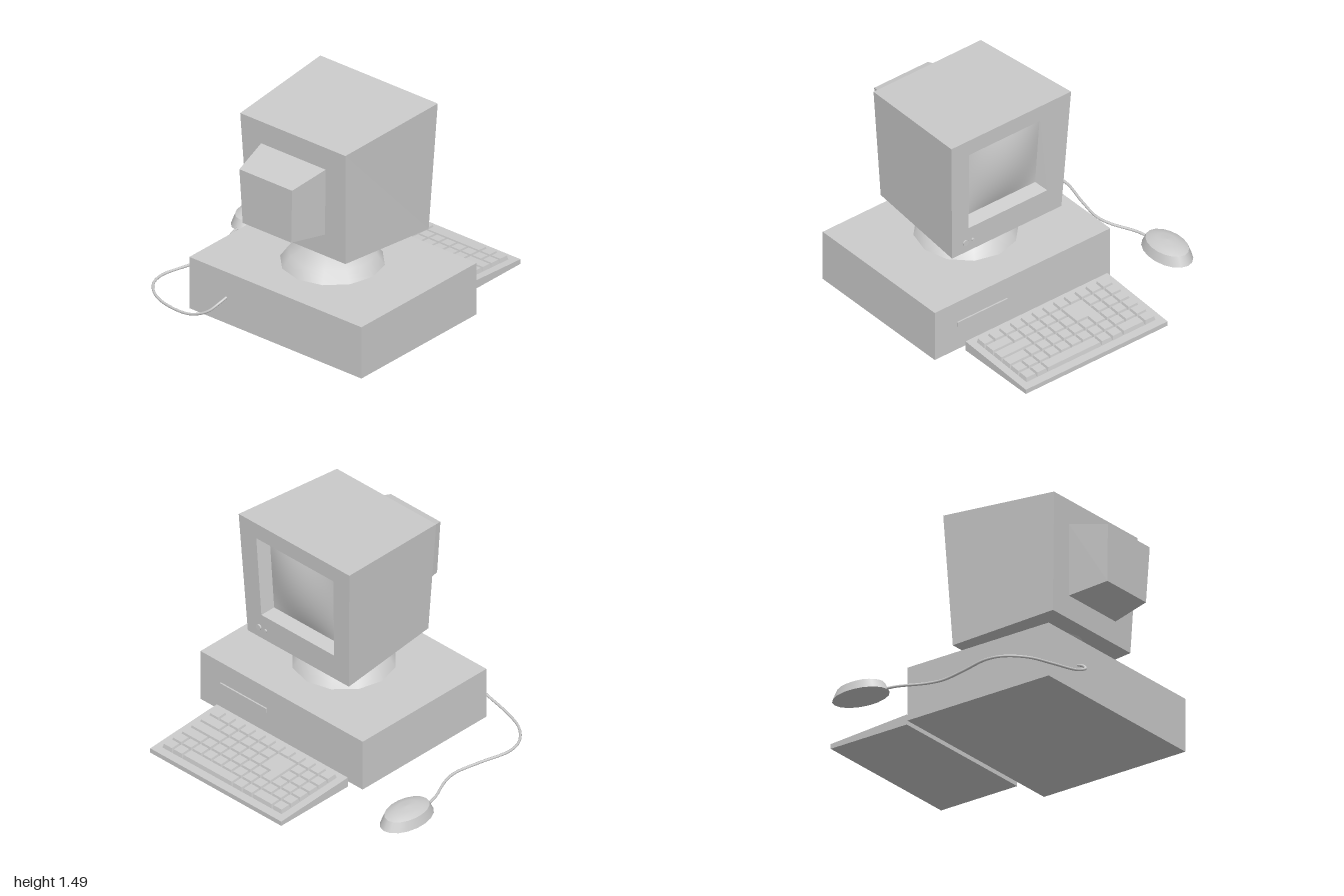
import * as THREE from 'three';

const material = new THREE.MeshStandardMaterial({ color: 0xcccccc });
const V = (x, y, z) => new THREE.Vector3(x, y, z);
const V2 = (x, y) => new THREE.Vector2(x, y);

function add(group, name, geometry, x = 0, y = 0, z = 0) {
  const mesh = new THREE.Mesh(geometry, material);
  mesh.name = name;
  mesh.position.set(x, y, z);
  group.add(mesh);
  return mesh;
}

// Flat-faced skin through matching rings; optional caps at either end
function loft(rings, capStart, capEnd) {
  const pts = [];
  const n = rings[0].length;
  for (let r = 0; r + 1 < rings.length; r++) {
    const a = rings[r], b = rings[r + 1];
    for (let i = 0; i < n; i++) {
      const j = (i + 1) % n;
      pts.push(a[i], a[j], b[j], a[i], b[j], b[i]);
    }
  }
  const first = rings[0], last = rings[rings.length - 1];
  for (let i = 1; i + 1 < n; i++) {
    if (capStart) pts.push(first[0], first[i + 1], first[i]);
    if (capEnd) pts.push(last[0], last[i], last[i + 1]);
  }
  const g = new THREE.BufferGeometry().setFromPoints(pts);
  g.computeVertexNormals();
  return g;
}

// Upright four-cornered ring: [left x, right x, y, z] for its bottom and top edges
const ring = ([bl, br, by, bz], [tl, tr, ty, tz]) =>
  [V(bl, by, bz), V(br, by, bz), V(tr, ty, tz), V(tl, ty, tz)];

// Point inside a ring at fractions s (across) and t (up)
const inside = (r, s, t) =>
  r[0].clone().lerp(r[1], s).lerp(r[3].clone().lerp(r[2], s), t);

function buildMonitor() {
  const g = new THREE.Group();
  g.name = 'monitor';
  const front = ring([-0.165, 0.73, 0.585, -0.145], [-0.21, 0.77, 1.487, -0.187]);
  const back = ring([-0.123, 0.69, 0.633, 0.62], [-0.158, 0.72, 1.438, 0.655]);
  const sub = (s0, s1, t0, t1) =>
    [[s0, t0], [s1, t0], [s1, t1], [s0, t1]].map(([s, t]) => inside(front, s, t));
  const opening = sub(0.145, 0.85, 0.205, 0.87);
  const recess = sub(0.175, 0.82, 0.235, 0.84).map((p) => p.add(V(0, 0, 0.09)));
  add(g, 'casing', loft([recess, opening, front, back], false, true));

  // Tube housing at the rear
  add(g, 'rearHousing', loft([
    ring([0.035, 0.525, 0.79, 0.625], [0.01, 0.55, 1.277, 0.645]),
    ring([0.075, 0.48, 0.83, 0.903], [0.06, 0.5, 1.218, 0.918]),
  ], false, true));

  // Bulging screen
  const screen = new THREE.PlaneGeometry(1, 1, 16, 16);
  const pos = screen.attributes.position;
  for (let i = 0; i < pos.count; i++) {
    const x = pos.getX(i), y = pos.getY(i);
    const p = inside(recess, 0.5 - x, 0.5 + y);
    p.z -= 0.05 * (1 - 4 * x * x) * (1 - 4 * y * y);
    pos.setXYZ(i, p.x, p.y, p.z);
  }
  screen.computeVertexNormals();
  add(g, 'screen', screen);

  // Control knobs below the screen
  for (const [x, r] of [[0.625, 0.021], [0.565, 0.011]]) {
    add(g, 'knob', new THREE.CylinderGeometry(r, r, 0.02, 12), x, 0.665, -0.15).rotation.x = Math.PI / 2;
  }
  return g;
}

function buildPedestal() {
  const g = new THREE.Group();
  g.name = 'pedestal';
  const lathe = (pts) => new THREE.LatheGeometry(pts, 12);
  add(g, 'swivelBase', lathe([V2(0.338, 0.37), V2(0.285, 0.445), V2(0.163, 0.512)]));
  add(g, 'neck', lathe([V2(0.163, 0.512), V2(0.265, 0.64)]));
  g.position.set(0.28, 0, 0.267);
  return g;
}

function buildKeyboard() {
  const g = new THREE.Group();
  g.name = 'keyboard';
  const deck = (z) => 0.05 + (z + 0.965) * 0.061;
  const X0 = -0.315, Z0 = -0.91, DX = 1.06 / 12, DZ = 0.505 / 6;

  const body = [[-0.365, -0.36], [0.795, -0.36], [0.795, -0.965], [-0.365, -0.965]];
  add(g, 'keyboardBody', loft([
    body.map(([x, z]) => V(x, 0.017, z)),
    body.map(([x, z]) => V(x, deck(z), z)),
  ], true, true));

  // Tapered key from an outline of [column, row, inset x, inset z]
  const key = (name, outline) => {
    const level = (inset, rise) => outline.map(([c, r, sx, sz]) => {
      const x = X0 + c * DX + sx * inset, z = Z0 + r * DZ + sz * inset;
      return V(x, deck(z) + rise, z);
    });
    add(g, name, loft([level(0.002, -0.002), level(0.009, 0.028)], false, true));
  };

  // Key widths in columns; negative widths leave a gap for the corner key
  const rows = [
    [1, 2, 1, 1, 5, 1, 1],
    Array(12).fill(1),
    [1, 1, 1, -1, 1, 1, 1, 1, 1, 1, 2],
    [1, 1, 1, -2, 1, 1, 1, 1, 3],
    [1, 1, 1, -2, 1, 1, 1, 1, 1, 2],
    Array(12).fill(1),
  ];
  rows.forEach((widths, r) => {
    let c = 0;
    for (const w of widths) {
      const e = c + Math.abs(w);
      if (w > 0) key('key', [[c, r + 1, 1, -1], [e, r + 1, -1, -1], [e, r, -1, 1], [c, r, 1, 1]]);
      c = e;
    }
  });
  key('cornerKey', [
    [4, 3, -1, 1], [4, 2, -1, 1], [3, 2, 1, 1], [3, 5, 1, -1], [5, 5, -1, -1], [5, 3, -1, 1],
  ]);
  return g;
}

function buildMouse() {
  const g = new THREE.Group();
  g.name = 'mouse';
  const lathe = (pts) => new THREE.LatheGeometry(pts, 18);
  const shell = new THREE.Group();
  shell.name = 'mouseShell';
  add(shell, 'mouseBottom', lathe([V2(0, 0.015), V2(1, 0.015)]));
  add(shell, 'mouseSide', lathe([V2(1, 0.015), V2(0.84, 0.08)]));
  add(shell, 'mouseTop', lathe([V2(0.84, 0.08), V2(0.65, 0.095), V2(0.4, 0.105), V2(0, 0.11)]));
  shell.scale.set(0.13, 1, 0.208);
  shell.position.set(-0.87, 0, -0.342);
  g.add(shell);

  // Cable running round to the back of the computer
  const path = new THREE.CatmullRomCurve3([
    V(-0.87, 0.022, -0.17), V(-0.85, 0.022, -0.07), V(-0.77, 0.022, 0.11), V(-0.75, 0.022, 0.22),
    V(-0.78, 0.022, 0.4), V(-0.83, 0.022, 0.63), V(-0.8, 0.022, 0.75), V(-0.69, 0.022, 0.86),
    V(-0.53, 0.024, 0.92), V(-0.32, 0.05, 0.948), V(-0.19, 0.11, 0.93),
    V(-0.142, 0.165, 0.87), V(-0.13, 0.188, 0.815),
  ]);
  add(g, 'cable', new THREE.TubeGeometry(path, 70, 0.009, 8));
  return g;
}

export function createModel() {
  const model = new THREE.Group();
  model.name = 'desktopComputer';

  // System unit with its disk slot
  add(model, 'systemUnit', new THREE.BoxGeometry(1.436, 0.37, 1.124), 0.28, 0.185, 0.262);
  add(model, 'diskSlot', new THREE.BoxGeometry(0.41, 0.032, 0.016), 0.613, 0.2, -0.303);

  model.add(buildPedestal(), buildMonitor(), buildKeyboard(), buildMouse());
  return model;
}
